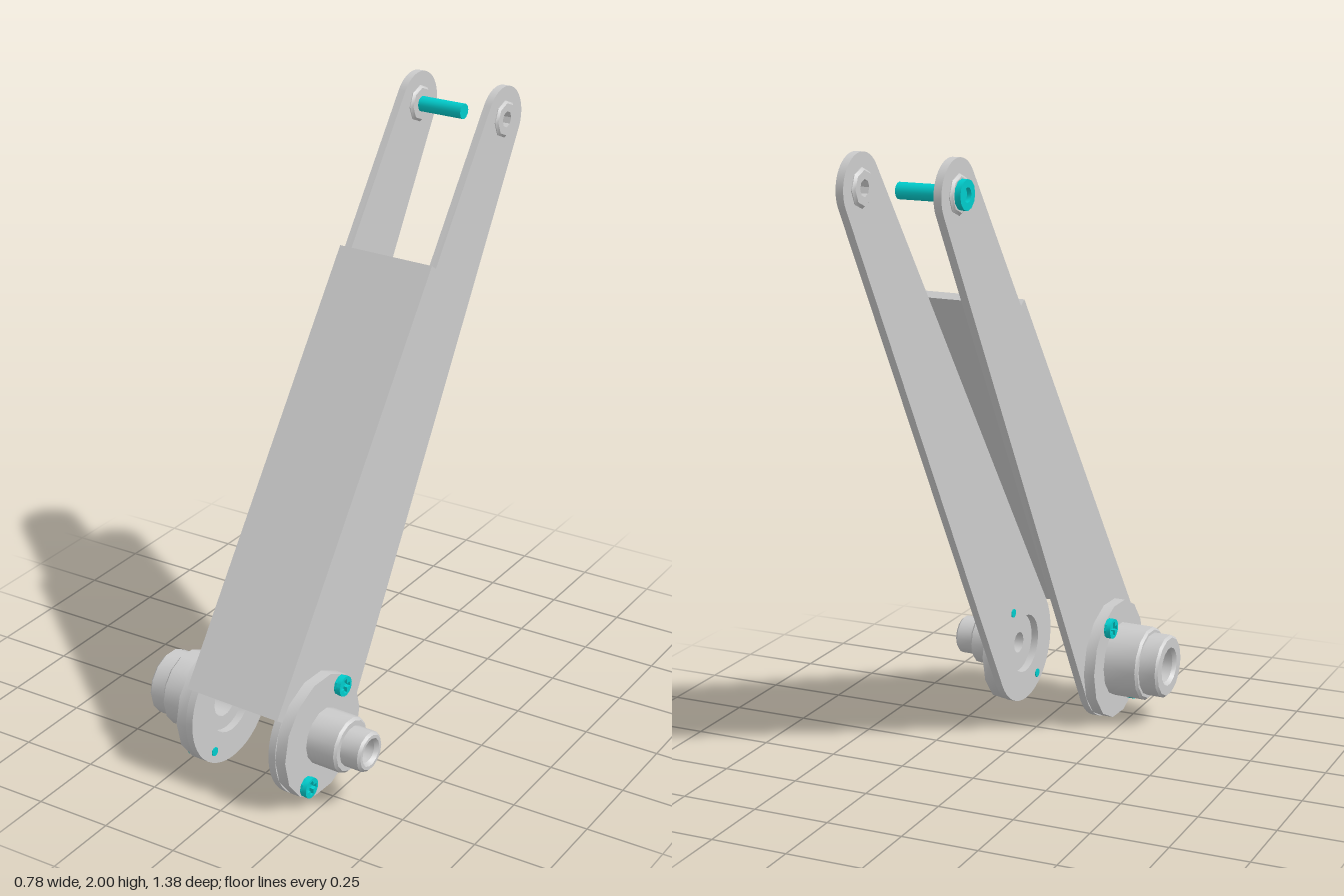
import * as THREE from 'three';
import { toCreasedNormals } from 'three/addons/utils/BufferGeometryUtils.js';

const grey = new THREE.MeshStandardMaterial({ color: 0xcccccc });
const teal = new THREE.MeshStandardMaterial({ color: 0x00cccc });

// Side-profile plane: u = -z, v = y. Lower pivot A, upper pivot B.
const A = new THREE.Vector2(-0.48, 0.205), RA = 0.2;
const B = new THREE.Vector2(0.583, 1.897), RB = 0.104;
const axis = B.clone().sub(A);
const tilt = axis.angle();
const spread = Math.PI / 2 - Math.asin((RA - RB) / axis.length());
const PLATE_IN = 0.145, PLATE_OUT = 0.17, FLANGE_OUT = 0.207;

function add(parent, name, geometry, material = grey) {
  const mesh = new THREE.Mesh(toCreasedNormals(geometry, 0.6), material);
  mesh.name = name;
  parent.add(mesh);
  return mesh;
}

// Extrude a side profile across the arm from x0 to x1
function slab(shape, x0, x1) {
  const g = new THREE.ExtrudeGeometry(shape, { depth: x1 - x0, bevelEnabled: false, curveSegments: 12 });
  return g.rotateY(Math.PI / 2).translate(x0, 0, 0);
}

// Turned part on a cross axis through pivot p; points are [radius, distance outwards]
function turned(points, p, side, segments) {
  const g = new THREE.LatheGeometry(points.map(([r, d]) => new THREE.Vector2(r, d)), segments);
  return g.rotateZ(-side * Math.PI / 2).translate(0, p.y, -p.x);
}

function circleHole(p, r) {
  return new THREE.Path().absarc(p.x, p.y, r, 0, Math.PI * 2, true);
}

function plateShape() {
  const s = new THREE.Shape();
  s.absarc(B.x, B.y, RB, tilt - spread, tilt + spread, false);
  s.absarc(A.x, A.y, RA, tilt + spread, tilt - spread + Math.PI * 2, false);
  s.closePath();
  s.holes.push(circleHole(A, 0.1), circleHole(B, 0.027));
  return s;
}

// Flat cover lying on the front edges of the two plates
function coverShape() {
  const n = new THREE.Vector2(Math.cos(tilt + spread), Math.sin(tilt + spread));
  const d = new THREE.Vector2(n.y, -n.x);
  const p = A.clone().addScaledVector(n, RA);
  const q = p.clone().addScaledVector(d, 1.46);
  return new THREE.Shape([
    p, q, q.clone().addScaledVector(n, 0.028), p.clone().addScaledVector(n, 0.028),
  ]);
}

// Round screw head with a cross recess
function screwHead(p, side) {
  const s = new THREE.Shape().absarc(0, 0, 0.033, 0, Math.PI * 2, false);
  const a = 0.023, b = 0.007;
  s.holes.push(new THREE.Path([
    [a, -b], [b, -b], [b, -a], [-b, -a], [-b, -b], [-a, -b],
    [-a, b], [-b, b], [-b, a], [b, a], [b, b], [a, b],
  ].map(([x, y]) => new THREE.Vector2(x, y))));
  const g = new THREE.ExtrudeGeometry(s, { depth: 0.014, bevelEnabled: false, curveSegments: 10 });
  return g.rotateY(side * Math.PI / 2).translate(side * (FLANGE_OUT + 0.008), p.y, -p.x);
}

export function createModel() {
  const model = new THREE.Group();
  model.name = 'linkArm';
  const arm = new THREE.Group();
  arm.name = 'arm';
  arm.position.x = 0.022;
  const turn = new THREE.Group();
  turn.name = 'turnedArm';
  turn.rotation.y = THREE.MathUtils.degToRad(-2.5);
  turn.add(arm);
  model.add(turn);

  add(arm, 'frontCover', slab(coverShape(), -PLATE_OUT, PLATE_OUT));

  // Stepped hubs: the right one is larger than the left one
  const hubs = {
    left: { side: 1, bore: 0.036, r1: 0.09, d1: 0.314, r2: 0.065, d2: 0.384 },
    right: { side: -1, bore: 0.055, r1: 0.124, d1: 0.326, r2: 0.106, d2: 0.391 },
  };

  for (const [label, h] of Object.entries(hubs)) {
    const { side, bore, r1, d1, r2, d2 } = h;
    const half = new THREE.Group();
    half.name = label + 'Side';
    arm.add(half);

    const [x0, x1] = side > 0 ? [PLATE_IN, PLATE_OUT] : [-PLATE_OUT, -PLATE_IN];
    add(half, 'sidePlate', slab(plateShape(), x0, x1));

    // Flange and hub in one turned piece
    add(half, 'flangedHub', turned([
      [bore, PLATE_OUT], [RA, PLATE_OUT], [RA, FLANGE_OUT], [r1, FLANGE_OUT],
      [r1, d1 - 0.008], [r1 - 0.008, d1], [r2, d1],
      [r2, d2 - 0.008], [r2 - 0.008, d2], [bore + 0.01, d2],
      [bore, d2 - 0.012], [bore, PLATE_OUT],
    ], A, side, 14));

    // Raised ring round the upper hole
    add(half, 'upperBoss', turned([
      [0.026, 0.135], [0.052, 0.135], [0.06, 0.143], [0.06, 0.172],
      [0.052, 0.179], [0.026, 0.179], [0.026, 0.135],
    ], B, side, 8));

    // Two screws hold each flange
    for (const k of [1, -1]) {
      const p = new THREE.Vector2(A.x + k * 0.092, A.y + k * 0.135);
      const screw = new THREE.Group();
      screw.name = 'flangeScrew';
      half.add(screw);
      add(screw, 'screwShaft', turned([
        [0, PLATE_IN - 0.003], [0.015, PLATE_IN - 0.003], [0.015, FLANGE_OUT],
        [0.033, FLANGE_OUT], [0.033, FLANGE_OUT + 0.008], [0, FLANGE_OUT + 0.008],
      ], p, side, 10), teal);
      add(screw, 'screwHead', screwHead(p, side), teal);
    }
  }

  // Socket-head bolt through the right plate
  add(arm, 'upperBolt', turned([
    [0, -0.022], [0.025, -0.022], [0.025, 0.177], [0.045, 0.177], [0.045, 0.198],
    [0.022, 0.198], [0.022, 0.184], [0, 0.184],
  ], B, -1, 12), teal);

  return model;
}
